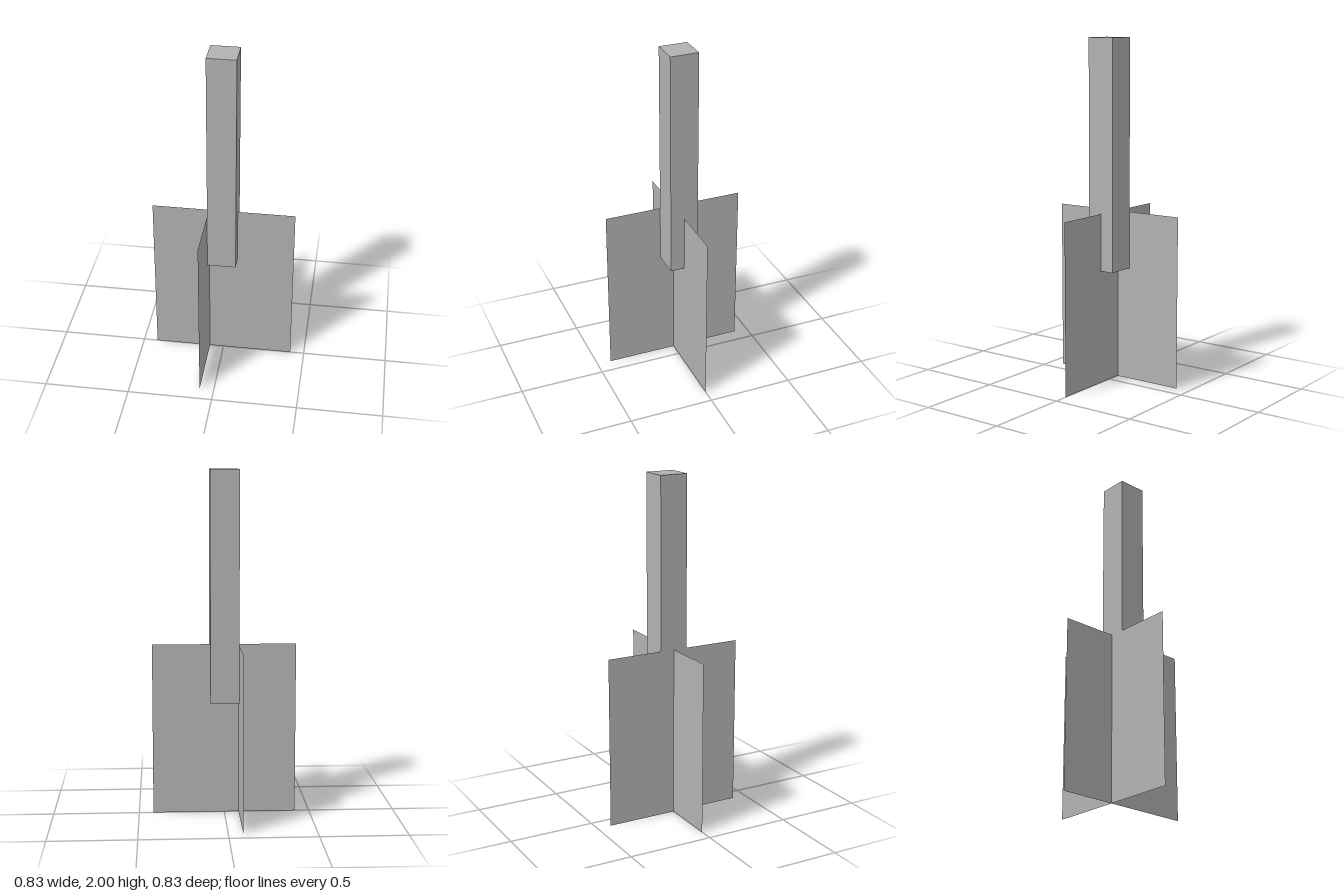
import * as THREE from 'three';

export function createModel() {
  const group = new THREE.Group();
  const px = 1 / 12; // modelling unit: twelve per world unit

  const grey = new THREE.MeshStandardMaterial({ color: 0xb2b2b2, side: THREE.DoubleSide });
  grey.name = 'grey';

  const add = (name, geometry, x, y, turn = 0) => {
    const mesh = new THREE.Mesh(geometry, grey);
    mesh.name = name;
    mesh.position.set(x, y, 0);
    mesh.rotation.y = turn;
    group.add(mesh);
  };

  // Square post
  add('post', new THREE.BoxGeometry(2 * px, 16 * px, 2 * px), 0, 16 * px);

  // Two crossing flat panels; the side one lies against the post's face
  const panel = new THREE.PlaneGeometry(10 * px, 12 * px);
  add('frontPanel', panel, 0, 6 * px);
  add('sidePanel', panel, -px - 0.001, 6 * px, Math.PI / 2);

  return group;
}
